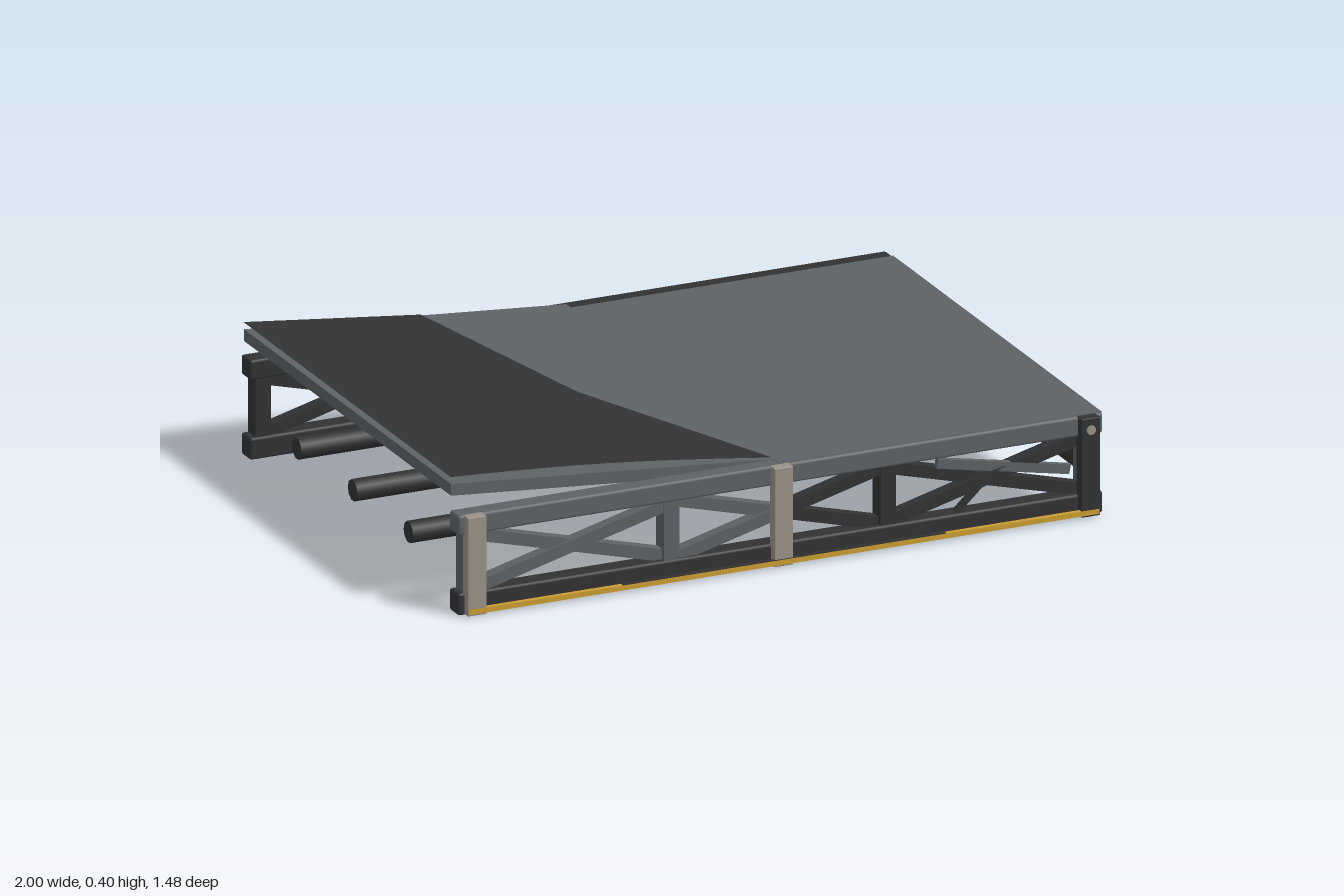
import * as THREE from 'three';
import { RoundedBoxGeometry } from 'three/addons/geometries/RoundedBoxGeometry.js';

const mat = (name, color, side = THREE.FrontSide) => {
  const m = new THREE.MeshStandardMaterial({ color, side });
  m.name = name;
  return m;
};

export function createModel() {
  const root = new THREE.Group();
  root.name = 'damagedPlatform';
  const grey = mat('steel grey', 0x5d6265);
  const dark = mat('charcoal', 0x323232, THREE.DoubleSide);
  const beige = mat('warm grey', 0x9a9187);
  const gold = mat('gold', 0xcc9d33);

  const add = (name, geo, material, parent = root) => {
    const mesh = new THREE.Mesh(geo, material);
    mesh.name = name;
    parent.add(mesh);
    return mesh;
  };
  // Box given by its low and high corners, optionally with softened edges
  const box = (name, a, b, material, parent = root, bevel = 0) => {
    const s = b.map((v, i) => v - a[i]);
    const geo = bevel ? new RoundedBoxGeometry(...s, 1, bevel) : new THREE.BoxGeometry(...s);
    const mesh = add(name, geo, material, parent);
    mesh.position.set(...a.map((v, i) => (v + b[i]) / 2));
    return mesh;
  };
  // Slanted bar in the x-y plane
  const brace = (name, x0, y0, x1, y1, z, w, d, material, parent = root) => {
    const mesh = add(name, new THREE.BoxGeometry(Math.hypot(x1 - x0, y1 - y0), w, d), material, parent);
    mesh.position.set((x0 + x1) / 2, (y0 + y1) / 2, z);
    mesh.rotation.z = Math.atan2(y1 - y0, x1 - x0);
  };
  // Surface made of rows x cols cells, each corner placed by point(row, col) in 0..1
  const grid = (name, rows, cols, point, material) => {
    const pos = [], index = [];
    for (let i = 0; i <= rows; i++)
      for (let j = 0; j <= cols; j++) {
        pos.push(...point(i / rows, j / cols));
        if (i < rows && j < cols) {
          const a = i * (cols + 1) + j, b = a + cols + 1;
          index.push(a, b, a + 1, b, b + 1, a + 1);
        }
      }
    const geo = new THREE.BufferGeometry();
    geo.setAttribute('position', new THREE.Float32BufferAttribute(pos, 3));
    geo.setIndex(index);
    geo.computeVertexNormals();
    add(name, geo, material);
  };

  // Lattice side: two chords, four uprights and three crossed bays
  const truss = (name, z, top, left, right) => {
    const g = new THREE.Group();
    g.name = name;
    root.add(g);
    const half = 0.032;
    box('bottomChord', [-0.998, 0, z - half], [0.998, 0.066, z + half], dark, g, 0.008);
    box('topChord', [-0.998, 0.239, z - half], [0.998, 0.299, z + half], top, g, 0.008);
    for (const x of [-0.955, -0.335, 0.335, 0.955])
      box('upright', [x - 0.024, 0.05, z - 0.026], [x + 0.024, 0.25, z + 0.026], x < 0 ? left : x > 0.9 ? top : right, g);
    for (const c of [-0.64, 0, 0.64])
      for (const s of [-1, 1])
        for (const e of [-1, 1])
          brace('diagonal', c, 0.152, c + e * 0.31, 0.152 + s * e * 0.082, z + s * 0.004, 0.036, 0.036,
            c + e * 0.1 < 0 ? left : right, g);
  };
  truss('frontTruss', 0.68, grey, grey, dark);
  truss('backTruss', -0.709, dark, dark, dark);

  // Front posts
  box('endPostRight', [-0.98, 0.004, 0.7], [-0.922, 0.299, 0.736], beige, root, 0.003);
  box('centrePost', [-0.03, 0.004, 0.7], [0.028, 0.299, 0.736], beige, root, 0.003);
  box('endPostLeft', [0.92, 0.004, 0.7], [0.978, 0.299, 0.736], dark, root, 0.003);
  const bolt = add('postBolt', new THREE.CylinderGeometry(0.014, 0.014, 0.008, 10), beige);
  bolt.rotation.x = Math.PI / 2;
  bolt.position.set(0.949, 0.264, 0.737);

  // Trim strip along the foot of the front
  box('trimStrip', [-0.975, 0.009, 0.722], [0.975, 0.024, 0.737], gold);
  box('trimCover', [-0.5, 0.024, 0.722], [0.5, 0.026, 0.737], dark);

  // Flat half of the deck, with its dark lining and stepped end beam
  box('flatDeck', [0, 0.264, -0.69], [0.998, 0.3, 0.7], grey);
  box('deckLining', [0.01, 0.256, -0.677], [0.96, 0.263, 0.648], dark);
  box('endBeamUpper', [0.955, 0.22, -0.69], [0.985, 0.264, 0.655], grey);
  box('endBeamLower', [0.95, 0.184, -0.69], [0.975, 0.22, 0.655], grey);
  box('endCrossbar', [0.935, 0.128, -0.69], [0.955, 0.184, 0.66], dark);

  // Tilted half of the deck
  const slope = new THREE.Shape([[0, 0.3], [-0.998, 0.38], [-0.998, 0.345], [0, 0.264]].map(p => new THREE.Vector2(...p)));
  const slab = add('tiltedDeck', new THREE.ExtrudeGeometry(slope, { depth: 1.382, bevelEnabled: false }), grey);
  slab.position.z = -0.72;

  // Peeling sheet: rises out of the tilted deck along a bent line, its front edge curling up
  const seam = [[0, 0.655], [-0.3, 0], [-0.45, -0.722]];
  const sheetPoint = (v, u) => {
    const k = v < 0.5 ? 0 : 1, f = v * 2 - k;
    const x = THREE.MathUtils.lerp(seam[k][0], seam[k + 1][0], f);
    const z = THREE.MathUtils.lerp(seam[k][1], seam[k + 1][1], f);
    const y = 0.302 - 0.08 * x;
    const bow = v === 0 ? Math.sin(Math.PI * u) : 0;
    return [x + (-0.999 - x) * u, y + (0.401 - y) * u + 0.008 * bow, z - 0.014 * bow + (v === 0 ? 0.007 * u : 0)];
  };
  grid('peelingSheet', 6, 10, sheetPoint, dark);

  // Pipes under the deck
  for (const z of [0.36, -0.012, -0.385]) {
    const pipe = add('underPipe', new THREE.CylinderGeometry(0.032, 0.032, 1.946, 10), dark);
    pipe.rotation.z = Math.PI / 2;
    pipe.position.set(-0.017, 0.134, z);
  }

  // Loose broken rod and strut inside the front lattice
  brace('brokenRod', 0.55, 0.065, 0.63, 0.14, 0.69, 0.016, 0.016, dark);
  brace('bentStrut', 0.49, 0.222, 0.9, 0.142, 0.693, 0.028, 0.018, grey);

  return root;
}
